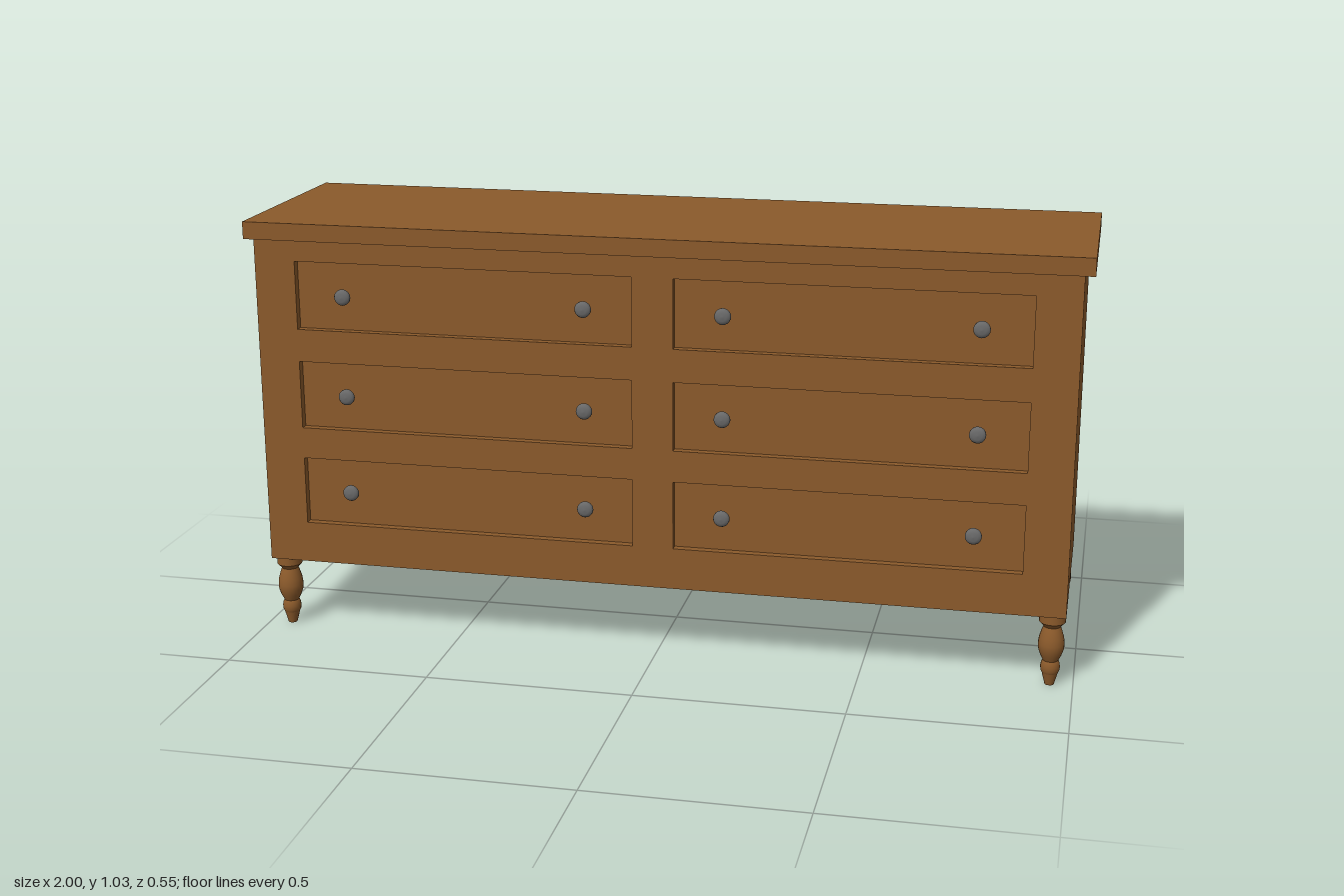
import * as THREE from 'three';

export function createModel() {
  const model = new THREE.Group();
  const wood = new THREE.MeshStandardMaterial({ color: 0x8b5a2b });
  wood.name = 'brown wood';
  const metal = new THREE.MeshStandardMaterial({ color: 0x696969 });
  metal.name = 'grey metal';

  const add = (name, geometry, material, x = 0, y = 0, z = 0) => {
    const mesh = new THREE.Mesh(geometry, material);
    mesh.name = name;
    mesh.position.set(x, y, z);
    model.add(mesh);
    return mesh;
  };

  const halfW = 0.977, halfD = 0.265, bottom = 0.18, top = 0.99;
  const recess = 0.02;
  const drawerW = 0.825, drawerH = 0.167;
  const columns = [-0.464, 0.46], rows = [0.856, 0.609, 0.365];

  // Carcass behind the drawer fronts, and the overhanging top
  add('carcass', new THREE.BoxGeometry(halfW * 2, top - bottom, halfD * 2 - recess),
    wood, 0, (top + bottom) / 2, -recess / 2);
  add('tableTop', new THREE.BoxGeometry(2, 0.042, 0.546), wood, 0, top + 0.021, 0);

  // Front frame with an opening for each drawer
  const rect = (path, x0, y0, x1, y1) =>
    path.moveTo(x0, y0).lineTo(x1, y0).lineTo(x1, y1).lineTo(x0, y1).closePath();
  const frame = new THREE.Shape();
  rect(frame, -halfW, bottom, halfW, top);
  for (const x of columns) for (const y of rows) {
    const hole = new THREE.Path();
    rect(hole, x - drawerW / 2, y - drawerH / 2, x + drawerW / 2, y + drawerH / 2);
    frame.holes.push(hole);
  }
  add('frontFrame', new THREE.ExtrudeGeometry(frame, { depth: recess, bevelEnabled: false }),
    wood, 0, 0, halfD - recess);

  // Round knobs, two on each drawer
  const knobProfile = [[0.008, 0], [0.01, 0.006], [0.017, 0.01], [0.0195, 0.015],
    [0.0195, 0.02], [0.017, 0.0245], [0.01, 0.027], [0, 0.028]];
  const knob = new THREE.LatheGeometry(knobProfile.map(p => new THREE.Vector2(...p)), 20);
  knob.rotateX(Math.PI / 2);
  for (const x of columns) for (const y of rows) for (const side of [-1, 1])
    add('drawerKnob', knob, metal, x + side * 0.296, y, halfD - recess);

  // Turned legs: foot, ring, bulb and collar; doubled points keep the rims crisp
  const legProfile = [[0, 0], [0.011, 0], [0.011, 0], [0.019, 0.03], [0.019, 0.03],
    [0.022, 0.036], [0.023, 0.046], [0.021, 0.056], [0.018, 0.061], [0.018, 0.061],
    [0.025, 0.075], [0.03, 0.09], [0.031, 0.103], [0.029, 0.119], [0.024, 0.136],
    [0.02, 0.146], [0.02, 0.146], [0.022, 0.149], [0.031, 0.158], [0.031, 0.158],
    [0.031, 0.181]];
  const leg = new THREE.LatheGeometry(legProfile.map(p => new THREE.Vector2(...p)), 24);
  for (const x of [-0.945, 0.945]) for (const z of [-0.228, 0.228])
    add('turnedLeg', leg, wood, x, 0, z);

  return model;
}
